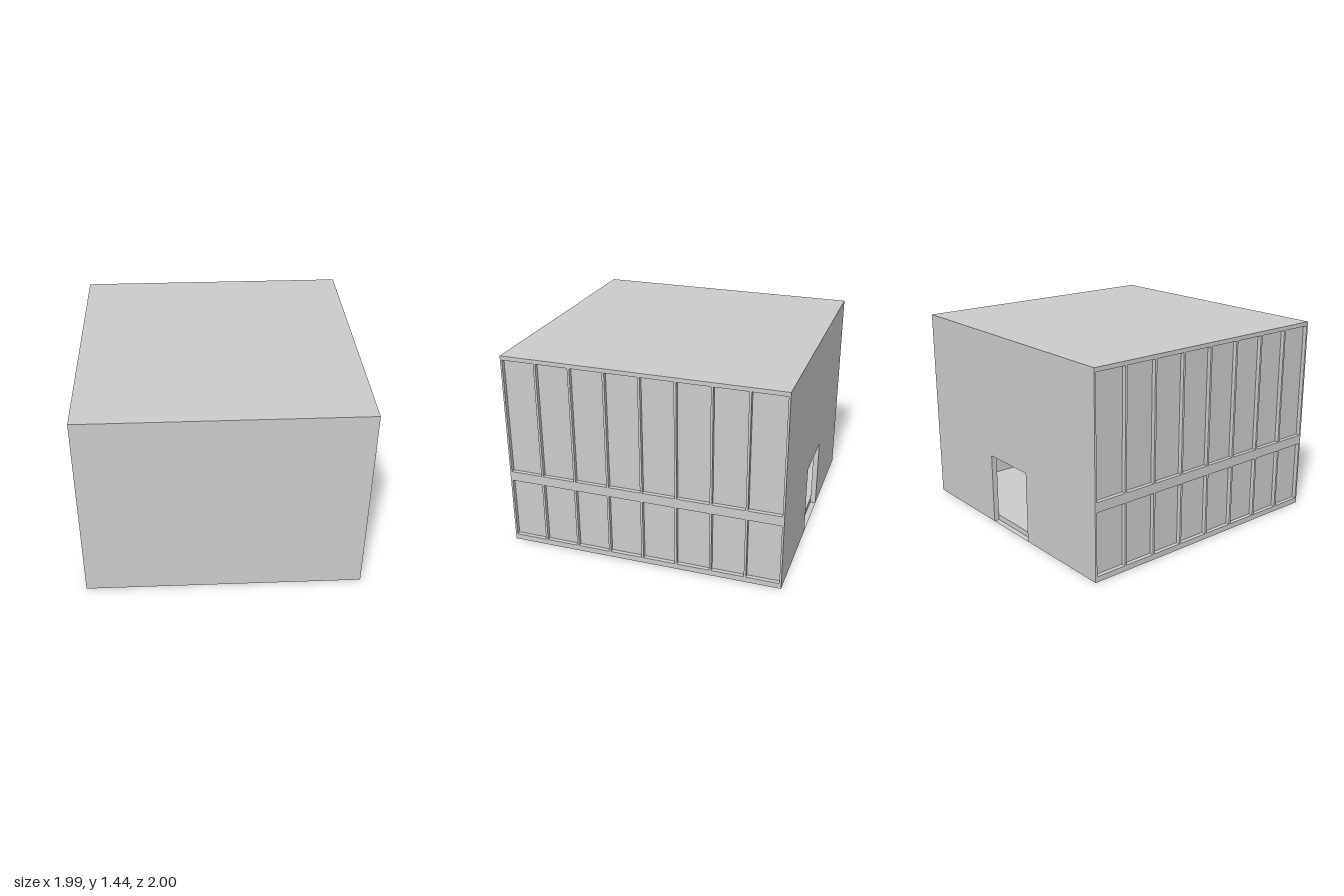
import * as THREE from 'three';
import { mergeGeometries } from 'three/addons/utils/BufferGeometryUtils.js';

const HX = 0.993, HZ = 1, H = 1.44;      // outer half width, half depth, height
const WALL = 0.04, RECESS = 0.03;        // wall thickness, window depth
const DOOR_W = 0.44, DOOR_H = 0.52;
const WINDOW_W = 0.233, PITCH = 0.2485, COLUMNS = 8;
const ROWS = [[0.04, 0.49], [0.56, 1.41]]; // bottom and top of each window row

const material = new THREE.MeshStandardMaterial({ color: 0xcccccc });

function mesh(name, geometry) {
  const m = new THREE.Mesh(geometry, material);
  m.name = name;
  return m;
}

function rectPoints(x0, y0, x1, y1) {
  return [[x0, y0], [x1, y0], [x1, y1], [x0, y1]].map(([x, y]) => new THREE.Vector2(x, y));
}

// Flat panel facing +z, with rectangular holes
function panel(rect, holes = []) {
  const shape = new THREE.Shape(rectPoints(...rect));
  for (const h of holes) shape.holes.push(new THREE.Path(rectPoints(...h).reverse()));
  return new THREE.ShapeGeometry(shape);
}

// Box seen from inside; open lists the sides left out (0..5 = +x -x +y -y +z -z)
function cavity(w, h, d, open) {
  const g = new THREE.BoxGeometry(w, h, d);
  const source = Array.from(g.index.array), index = [];
  for (let i = 0; i < source.length; i += 3) {
    if (!open.includes(Math.floor(i / 6))) index.push(source[i], source[i + 2], source[i + 1]);
  }
  g.setIndex(index);
  const n = g.attributes.normal;
  for (let i = 0; i < n.array.length; i++) n.array[i] *= -1;
  return g;
}

// Side wall facing +x with two rows of recessed windows
function sideWall(name) {
  const group = new THREE.Group();
  group.name = name;
  const holes = [], recesses = [];
  for (const [y0, y1] of ROWS) {
    for (let i = 0; i < COLUMNS; i++) {
      const c = (i - (COLUMNS - 1) / 2) * PITCH;
      holes.push([c - WINDOW_W / 2, y0, c + WINDOW_W / 2, y1]);
      recesses.push(cavity(RECESS, y1 - y0, WINDOW_W, [0])
        .translate(HX - RECESS / 2, (y0 + y1) / 2, c));
    }
  }
  group.add(mesh('wallFace', panel([-HZ, 0, HZ, H], holes).rotateY(Math.PI / 2).translate(HX, 0, 0)));
  group.add(mesh('windowRecesses', mergeGeometries(recesses)));
  return group;
}

export function createModel() {
  const model = new THREE.Group();
  model.name = 'building';

  // Outer shell
  model.add(mesh('frontWall', panel([-HX, 0, HX, H]).translate(0, 0, HZ)));
  model.add(mesh('roof', new THREE.PlaneGeometry(2 * HX, 2 * HZ).rotateX(-Math.PI / 2).translate(0, H, 0)));
  model.add(mesh('base', new THREE.PlaneGeometry(2 * HX, 2 * HZ).rotateX(Math.PI / 2)));

  // Windowed sides, mirrored by a half turn
  const left = sideWall('leftWall');
  const right = sideWall('rightWall');
  right.rotation.y = Math.PI;
  model.add(left, right);

  // Back wall around the doorway, which reaches the ground
  const d = DOOR_W / 2;
  const backShape = new THREE.Shape([
    [-HX, 0], [-d, 0], [-d, DOOR_H], [d, DOOR_H], [d, 0], [HX, 0], [HX, H], [-HX, H],
  ].map(([x, y]) => new THREE.Vector2(x, y)));
  model.add(mesh('backWall', new THREE.ShapeGeometry(backShape).rotateY(Math.PI).translate(0, 0, -HZ)));

  // Doorway lining and the riser up to the inner floor
  model.add(mesh('doorwayLining', cavity(DOOR_W, DOOR_H, WALL, [4, 5])
    .translate(0, DOOR_H / 2, -HZ + WALL / 2)));
  model.add(mesh('doorStep', panel([-d, 0, d, WALL]).rotateY(Math.PI).translate(0, 0, -HZ + WALL)));

  // Single hollow room inside
  const rx = HX - WALL, rz = HZ - WALL, top = H - WALL;
  model.add(mesh('roomInterior', cavity(2 * rx, top - WALL, 2 * rz, [5]).translate(0, H / 2, 0)));
  const innerShape = new THREE.Shape([
    [-rx, WALL], [-d, WALL], [-d, DOOR_H], [d, DOOR_H], [d, WALL], [rx, WALL], [rx, top], [-rx, top],
  ].map(([x, y]) => new THREE.Vector2(x, y)));
  model.add(mesh('innerBackWall', new THREE.ShapeGeometry(innerShape).translate(0, 0, -rz)));

  return model;
}
